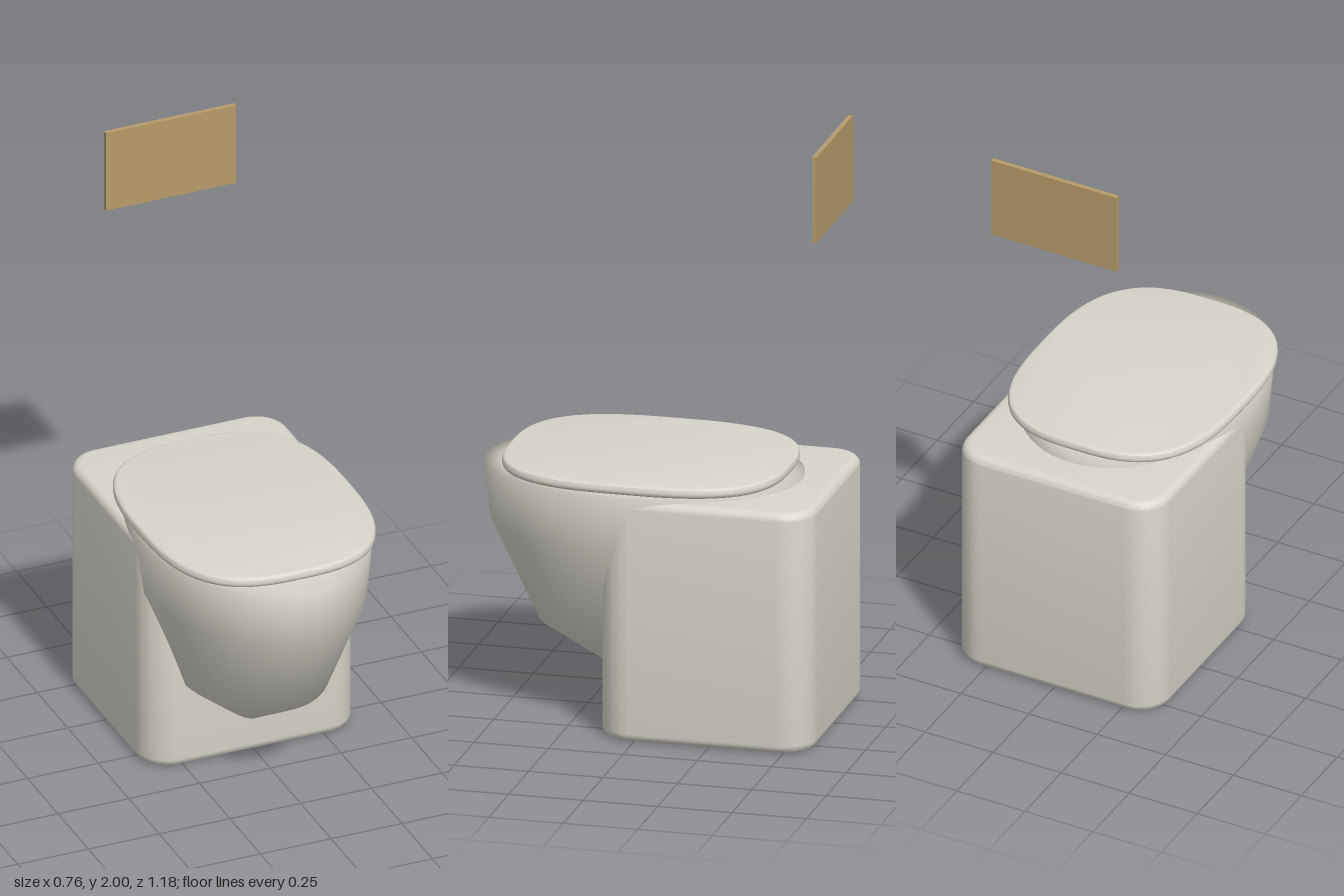
import * as THREE from 'three';
import { toCreasedNormals } from 'three/addons/utils/BufferGeometryUtils.js';

// Horizontal slab with rounded edges, its outline drawn as (x, -z)
function slab(shape, y0, y1, bevel) {
  const geo = new THREE.ExtrudeGeometry(shape, {
    depth: y1 - y0 - 2 * bevel, bevelEnabled: true, bevelThickness: bevel,
    bevelSize: bevel, bevelOffset: -bevel, bevelSegments: 5, curveSegments: 12,
  });
  geo.rotateX(-Math.PI / 2);
  geo.translate(0, y0 + bevel, 0);
  return toCreasedNormals(geo, 0.5);
}

// Rectangle with rounded corners
function roundedRect(w, h, r) {
  const x = w / 2, y = h / 2, s = new THREE.Shape();
  s.absarc(x - r, y - r, r, 0, Math.PI / 2);
  s.absarc(-x + r, y - r, r, Math.PI / 2, Math.PI);
  s.absarc(-x + r, -y + r, r, Math.PI, Math.PI * 1.5);
  s.absarc(x - r, -y + r, r, Math.PI * 1.5, Math.PI * 2);
  s.closePath();
  return s;
}

// Squarish oval
function superellipse(rx, ry, n, count) {
  const pts = [];
  for (let i = 0; i < count; i++) {
    const a = (i / count) * Math.PI * 2, c = Math.cos(a), s = Math.sin(a);
    pts.push(new THREE.Vector2(
      rx * Math.sign(c) * Math.abs(c) ** (2 / n),
      ry * Math.sign(s) * Math.abs(s) ** (2 / n)));
  }
  return new THREE.Shape(pts);
}

export function createModel() {
  const group = new THREE.Group();
  const ceramic = new THREE.MeshStandardMaterial({ color: 0xd8d5cb });
  ceramic.name = 'ceramic';
  const brass = new THREE.MeshStandardMaterial({ color: 0xb69b6a });
  brass.name = 'brass';

  const add = (name, geo, mat, x, y, z) => {
    const mesh = new THREE.Mesh(geo, mat);
    mesh.name = name;
    mesh.position.set(x, y, z);
    group.add(mesh);
    return mesh;
  };

  // Pedestal block
  add('pedestal', slab(roundedRect(0.75, 0.716, 0.11), 0, 0.82, 0.028), ceramic, 0, 0, -0.232);

  // Oval bowl, a turned profile stretched from front to back
  const profile = [[0, 0.08], [0.25, 0.3], [0.365, 0.64], [0.38, 0.83], [0.33, 0.83], [0, 0.83]]
    .map(([r, y]) => new THREE.Vector2(r, y));
  const bowl = new THREE.LatheGeometry(profile, 64);
  bowl.scale(1, 1, 1.395);
  add('bowl', bowl, ceramic, 0, 0, 0.06);

  // Closed lid
  add('lid', slab(superellipse(0.375, 0.473, 2.85, 96), 0.84, 0.875, 0.014), ceramic, 0, 0, 0.038);

  // Flush plate on the wall behind
  add('flushPlate', new THREE.BoxGeometry(0.46, 0.29, 0.016), brass, 0, 1.855, -0.571);

  return group;
}
